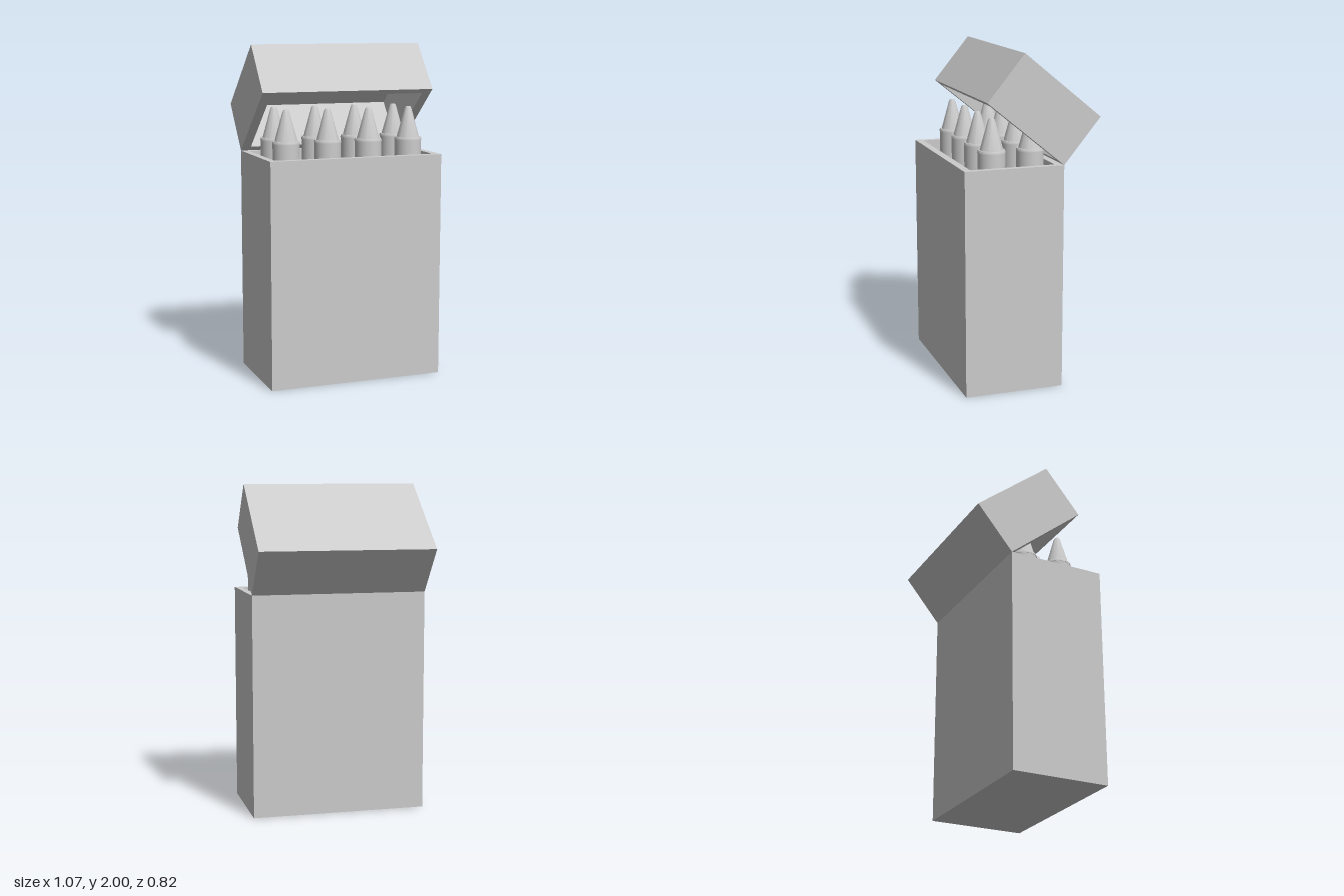
import * as THREE from 'three';
import { toCreasedNormals } from 'three/addons/utils/BufferGeometryUtils.js';

const material = new THREE.MeshStandardMaterial({ color: 0xcccccc });
const WIDTH = 1.07, DEPTH = 0.6, BODY_H = 1.35, LID_H = 0.35, BACK_Z = -0.185;

function addMesh(parent, name, geometry) {
  const mesh = new THREE.Mesh(geometry, material);
  mesh.name = name;
  parent.add(mesh);
  return mesh;
}

function rectangle(target, w, d) {
  target.moveTo(-w / 2, -d / 2);
  target.lineTo(w / 2, -d / 2);
  target.lineTo(w / 2, d / 2);
  target.lineTo(-w / 2, d / 2);
  target.closePath();
  return target;
}

// Open-topped carton: a ring of walls with a panel closing its lower end
function carton(name, height, sideWall, endWall, panel) {
  const group = new THREE.Group();
  group.name = name;
  const innerW = WIDTH - 2 * sideWall, innerD = DEPTH - 2 * endWall;
  const outline = rectangle(new THREE.Shape(), WIDTH, DEPTH);
  outline.holes.push(rectangle(new THREE.Path(), innerW, innerD));
  const walls = new THREE.ExtrudeGeometry(outline, { depth: height, bevelEnabled: false });
  walls.rotateX(-Math.PI / 2);
  addMesh(group, name + 'Walls', walls);
  const plate = new THREE.BoxGeometry(innerW, panel, innerD);
  plate.translate(0, panel / 2, 0);
  addMesh(group, name + 'Panel', plate);
  return group;
}

// Crayon: wrapped barrel, collar and blunt conical tip
function crayonGeometry() {
  const profile = [
    [0, 0.04], [0.08, 0.04], [0.08, 1.425], [0.082, 1.425], [0.082, 1.432],
    [0.077, 1.442], [0.068, 1.442], [0.021, 1.612], [0.014, 1.625], [0, 1.625],
  ].map(([r, y]) => new THREE.Vector2(r, y));
  return toCreasedNormals(new THREE.LatheGeometry(profile, 40), 0.5);
}

export function createModel() {
  const model = new THREE.Group();
  model.name = 'crayonBox';

  // Lower box
  const box = carton('box', BODY_H, 0.04, 0.045, 0.04);
  box.position.z = BACK_Z + DEPTH / 2;
  model.add(box);

  // Lid, an upturned carton swung open about the back edge
  const hinge = new THREE.Group();
  hinge.name = 'lidHinge';
  hinge.position.set(0, BODY_H, BACK_Z);
  hinge.rotation.x = -0.687;
  const lid = carton('lid', LID_H, 0.055, 0.04, 0.046);
  lid.rotation.x = Math.PI;
  lid.position.set(0, LID_H, DEPTH / 2);
  hinge.add(lid);
  model.add(hinge);

  // Two rows of four crayons
  const geometry = crayonGeometry();
  for (const z of [0.213, -0.022]) {
    for (let i = 0; i < 4; i++) {
      addMesh(model, 'crayon', geometry).position.set(-0.375 + i * 0.26, 0, z);
    }
  }
  return model;
}
